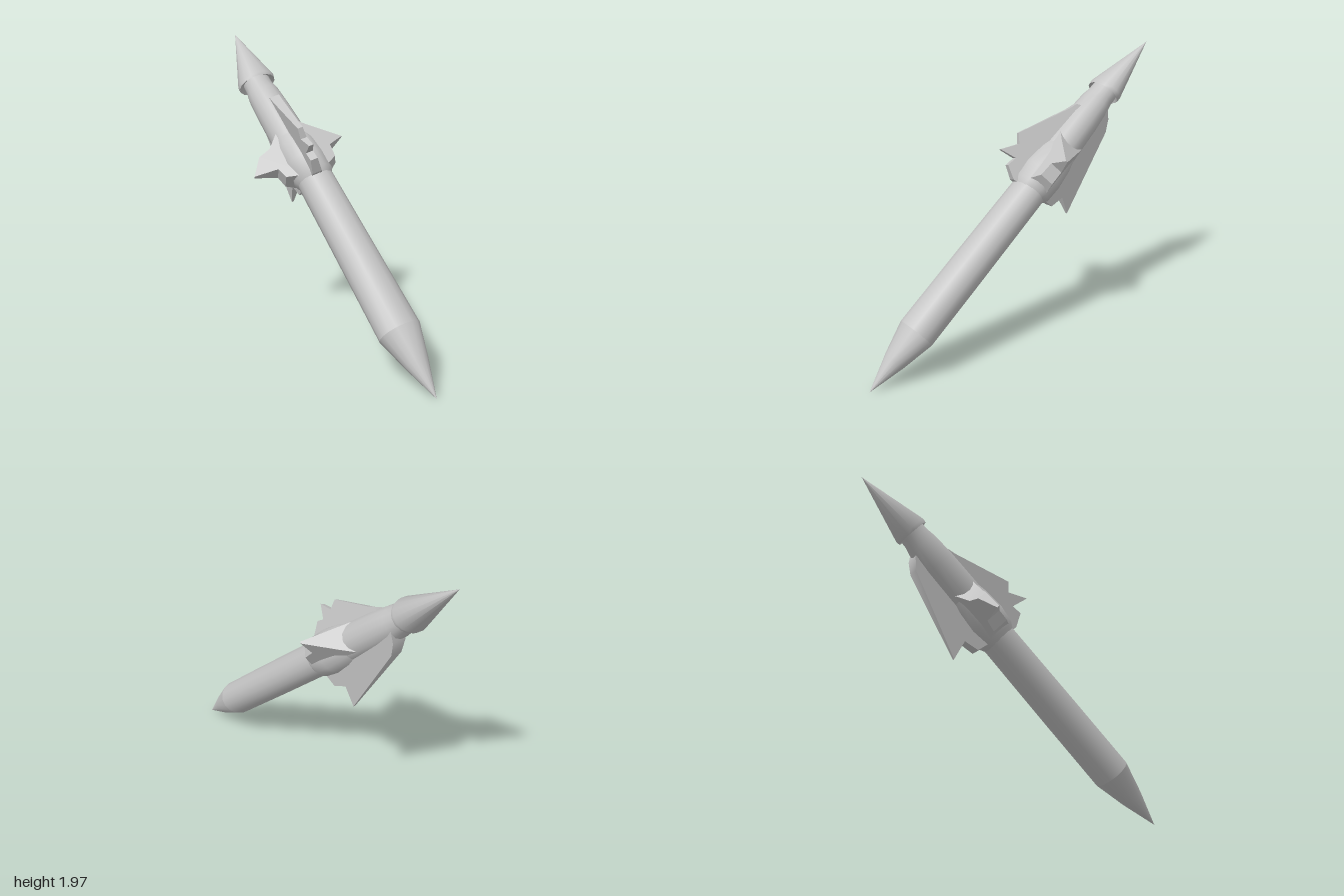
import * as THREE from 'three';
import { toCreasedNormals } from 'three/addons/utils/BufferGeometryUtils.js';

const SIDES = 16;

// Skin over elliptical rings: [height, half width x, half width z, z offset]
function loft(rings) {
  const pos = [], index = [];
  for (const [y, a, b, off = 0] of rings) {
    for (let j = 0; j < SIDES; j++) {
      const t = (j / SIDES) * Math.PI * 2;
      pos.push(a * Math.cos(t), y, off + b * Math.sin(t));
    }
  }
  for (let i = 0; i < rings.length - 1; i++) {
    for (let j = 0; j < SIDES; j++) {
      const k = (j + 1) % SIDES;
      const p = i * SIDES + j, q = i * SIDES + k;
      index.push(p, p + SIDES, q, q, p + SIDES, q + SIDES);
    }
  }
  const g = new THREE.BufferGeometry();
  g.setAttribute('position', new THREE.Float32BufferAttribute(pos, 3));
  g.setIndex(index);
  return toCreasedNormals(g, 0.7);
}

// Plate from a (radius, height) outline, tapering in thickness from root to tip
function fin(outline, root, tip, angle) {
  const shape = new THREE.Shape(outline.map(([r, s]) => new THREE.Vector2(r, s)));
  const g = new THREE.ExtrudeGeometry(shape, { depth: 1, bevelEnabled: false });
  const p = g.attributes.position;
  const reach = Math.max(...outline.map((o) => o[0]));
  for (let i = 0; i < p.count; i++) {
    const k = (p.getX(i) - 0.05) / (reach - 0.05);
    p.setZ(i, (p.getZ(i) - 0.5) * THREE.MathUtils.lerp(root, tip, k));
  }
  g.rotateY(angle);
  return toCreasedNormals(g, 0.6);
}

export function createModel() {
  const model = new THREE.Group();
  model.name = 'finnedDart';
  const grey = new THREE.MeshStandardMaterial({ color: 0xc4c4c4 });
  grey.name = 'plain grey';

  // Everything is built upright, then leaned along the long axis
  const body = new THREE.Group();
  body.name = 'leaningBody';
  model.add(body);
  const add = (name, geometry) => {
    const mesh = new THREE.Mesh(geometry, grey);
    mesh.name = name;
    body.add(mesh);
  };

  // Shaft with its pointed end
  add('lowerPoint', loft([[0, 0, 0], [0.25, 0.075, 0.08], [0.47, 0.125, 0.143]]));
  add('shaft', loft([[0.47, 0.125, 0.143], [1.0, 0.125, 0.135], [1.8, 0.12, 0.125]]));

  // Collar at the root of the fins
  add('collar', loft([
    [1.64, 0.11, 0.11], [1.7, 0.145, 0.14], [1.82, 0.155, 0.15, 0.01],
    [1.96, 0.14, 0.145, 0.015], [2.04, 0.12, 0.13, 0.02],
  ]));

  // Upper body narrowing to the neck
  add('upperBody', loft([
    [1.8, 0.125, 0.125, 0.005], [2.05, 0.125, 0.13, 0.02], [2.3, 0.118, 0.122, 0.028],
    [2.46, 0.105, 0.112, 0.033], [2.52, 0.092, 0.1, 0.035], [2.62, 0.09, 0.098, 0.035],
  ]));

  // Overhanging nose cone
  add('noseCone', loft([
    [2.59, 0.07, 0.08, 0.035], [2.56, 0.108, 0.135, 0.037], [2.585, 0.112, 0.139, 0.036],
    [3.05, 0, 0, 0],
  ]));

  // Two long swept fins
  add('upperLongFin', fin([
    [0.05, 2.38], [0.125, 2.34], [0.145, 2.28], [0.31, 1.914], [0.26, 1.86],
    [0.335, 1.746], [0.22, 1.77], [0.23, 1.7], [0.14, 1.65], [0.05, 1.66],
  ], 0.085, 0.03, -0.17));
  add('lowerLongFin', fin([
    [0.05, 2.47], [0.12, 2.43], [0.18, 2.36], [0.38, 1.77], [0.24, 1.81],
    [0.21, 1.71], [0.05, 1.68],
  ], 0.13, 0.015, Math.PI + 0.18));

  // Two short thick side spikes
  add('backSpike', fin([
    [0.05, 2.12], [0.13, 2.05], [0.31, 1.905], [0.2, 1.86], [0.19, 1.76], [0.05, 1.67],
  ], 0.2, 0.012, 1.35));
  add('frontSpike', fin([
    [0.05, 2.13], [0.13, 2.06], [0.2, 1.99], [0.284, 1.97], [0.37, 1.853],
    [0.21, 1.82], [0.19, 1.74], [0.05, 1.68],
  ], 0.2, 0.02, -Math.PI / 2 - 0.1));

  // Lean the upright build from its lower point to its nose
  const along = new THREE.Vector3(-2, 1.97, -1.2).normalize();
  const up = new THREE.Vector3(0.42, 0.74, 0.52);
  up.addScaledVector(along, -up.dot(along)).normalize();
  const side = new THREE.Vector3().crossVectors(up, along);
  body.quaternion.setFromRotationMatrix(new THREE.Matrix4().makeBasis(up, along, side));
  body.position.set(1, 0, 0.6);
  return model;
}
